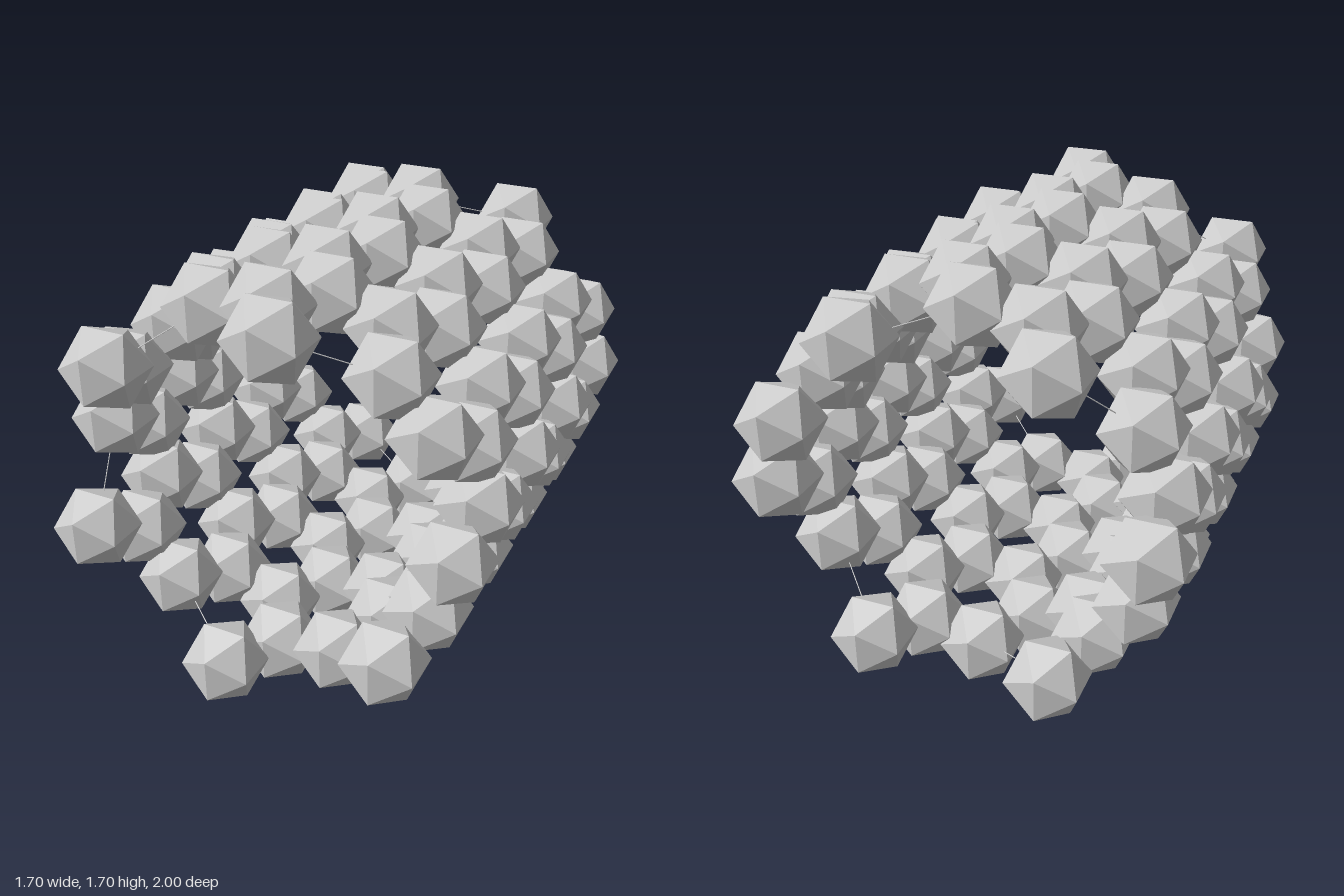
import * as THREE from 'three';

const RADIUS = 0.709;      // tube radius through the ball centres
const STEP = 0.2145;       // spacing between rings along z
const BALL = 0.167;
const CENTRE_Y = RADIUS + BALL * 0.8507;

// Point on the tube at an angle in degrees and a ring number from -4 to 4
function tubePoint(angle, ring) {
  const a = THREE.MathUtils.degToRad(angle);
  return new THREE.Vector3(RADIUS * Math.cos(a), CENTRE_Y + RADIUS * Math.sin(a), ring * STEP);
}

export function createModel() {
  const group = new THREE.Group();
  group.name = 'hexagonalLatticeTube';
  const material = new THREE.MeshStandardMaterial({ color: 0xcccccc, flatShading: true });
  const ballGeometry = new THREE.IcosahedronGeometry(BALL, 0);

  function addBall(angle, ring, name) {
    const ball = new THREE.Mesh(ballGeometry, material);
    ball.name = name;
    ball.position.copy(tubePoint(angle, ring));
    group.add(ball);
  }

  // Thin rod between two lattice points
  function addRod(from, to) {
    const dir = to.clone().sub(from);
    const rod = new THREE.Mesh(new THREE.CylinderGeometry(0.002, 0.002, dir.length(), 6), material);
    rod.name = 'rimRod';
    rod.position.copy(from).add(to).multiplyScalar(0.5);
    rod.quaternion.setFromUnitVectors(new THREE.Vector3(0, 1, 0), dir.normalize());
    group.add(rod);
  }

  // Full rings: six pairs of balls, every other ring turned by 30 degrees
  for (let ring = -3; ring <= 3; ring++) {
    const turn = ring % 2 === 0 ? 0 : 30;
    for (let i = 0; i < 6; i++) {
      addBall(turn + i * 60, ring, 'ringBall');
      addBall(turn + i * 60 + 20, ring, 'ringBall');
    }
  }

  // Open ends: one ball of each pair, with a rod across the gap it leaves
  for (let i = 0; i < 6; i++) {
    const back = i * 60;
    addBall(back, -4, 'backRimBall');
    addRod(tubePoint(back, -4), tubePoint(back + 30, -3));

    // The first pair sits wholly at the back
    const front = i * 60 + 20;
    if (i === 0) {
      addBall(front, -4, 'backRimBall');
    } else {
      addBall(front, 4, 'frontRimBall');
      addRod(tubePoint(front, 4), tubePoint(front - 30, 3));
    }
  }
  return group;
}
